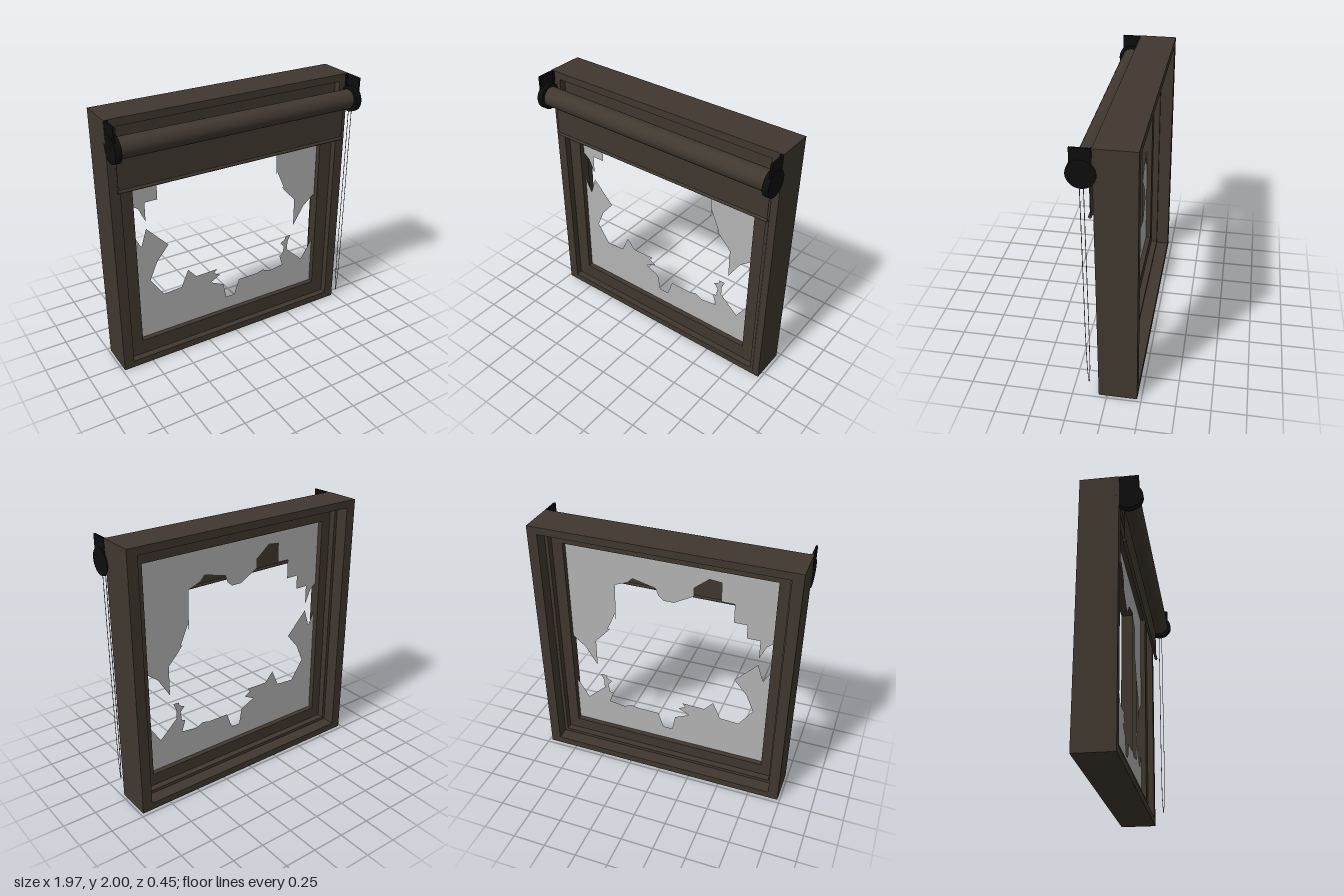
import * as THREE from 'three';

const mat = (name, color, side = THREE.FrontSide) => {
  const m = new THREE.MeshStandardMaterial({ color, side });
  m.name = name;
  return m;
};

export function createModel() {
  const wood = mat('dark brown wood', 0x40382f);
  const fabric = mat('brown fabric', 0x40382f, THREE.DoubleSide);
  const black = mat('black plastic', 0x0d0d0d);
  const glass = mat('grey glass', 0xb4b4b4, THREE.DoubleSide);
  const metal = mat('chain metal', 0x8c8a84);
  const group = new THREE.Group();
  const add = (name, geo, material, x = 0, y = 0, z = 0) => {
    const m = new THREE.Mesh(geo, material);
    m.name = name;
    m.position.set(x, y, z);
    group.add(m);
    return m;
  };

  // Rectangular frame ring: rectangles are [x0, y0, x1, y1]
  const rect = (P, [x0, y0, x1, y1]) =>
    new P([[x0, y0], [x1, y0], [x1, y1], [x0, y1]].map(p => new THREE.Vector2(...p)));
  const ring = (name, outer, inner, z0, z1) => {
    const s = rect(THREE.Shape, outer);
    s.holes.push(rect(THREE.Path, inner));
    add(name, new THREE.ExtrudeGeometry(s, { depth: z1 - z0, bevelEnabled: false }), wood, 0, 0, z0);
  };
  const opening = [-0.905, 0.055, 0.9, 1.945];
  const stop = [-0.88, 0.08, 0.875, 1.92];
  ring('outerFrame', [-0.983, 0, 0.978, 2], opening, -0.22, 0.06);
  ring('frameStop', opening, stop, -0.12, -0.03);
  ring('sash', opening, [-0.8, 0.175, 0.79, 1.825], -0.07, 0.01);

  // Broken glass: one shard still hanging, one standing in the sash
  const pane = (name, pts) =>
    add(name, new THREE.ShapeGeometry(new THREE.Shape(pts.map(p => new THREE.Vector2(...p)))), glass, 0, 0, -0.03);
  pane('upperGlass', [
    [-0.8, 1.825], [-0.8, 1.31], [-0.75, 1.27], [-0.7, 1.16], [-0.7, 1.31], [-0.6, 1.31],
    [-0.6, 1.42], [-0.5, 1.42], [-0.5, 1.57], [-0.4, 1.57], [-0.4, 1.72], [-0.31, 1.73],
    [-0.2, 1.64], [-0.2, 1.57], [-0.05, 1.485], [0.03, 1.485], [0.07, 1.52], [0.09, 1.575],
    [0.19, 1.6], [0.27, 1.62], [0.305, 1.58], [0.41, 1.54], [0.415, 1.23], [0.42, 1.29],
    [0.49, 1.13], [0.47, 1.14], [0.51, 1.09], [0.595, 1], [0.595, 0.765], [0.69, 0.92],
    [0.79, 1], [0.79, 1.825]]);
  pane('lowerGlass', [
    [-0.8, 0.175], [0.79, 0.175], [0.79, 0.575], [0.69, 0.415], [0.545, 0.55], [0.545, 0.62],
    [0.57, 0.68], [0.525, 0.68], [0.515, 0.65], [0.475, 0.63], [0.51, 0.59], [0.5, 0.52],
    [0.47, 0.51], [0.5, 0.42], [0.375, 0.4], [0.31, 0.43], [0.25, 0.415], [0.08, 0.415],
    [0.035, 0.285], [-0.04, 0.285], [-0.065, 0.415], [-0.18, 0.47], [-0.095, 0.515],
    [-0.15, 0.545], [-0.12, 0.575], [-0.305, 0.57], [-0.375, 0.65], [-0.435, 0.515],
    [-0.585, 0.505], [-0.69, 0.66], [-0.63, 0.8], [-0.53, 0.92], [-0.7, 1.1],
    [-0.745, 0.96], [-0.8, 1.07]]);

  // Roller blind: rolled fabric, hanging sheet and bottom bar
  const rod = (name, r, length, material, x, y, z, sides = 32) => {
    add(name, new THREE.CylinderGeometry(r, r, length, sides), material, x, y, z).rotation.z = Math.PI / 2;
  };
  rod('blindRoll', 0.074, 1.87, fabric, -0.003, 1.825, 0.128);
  add('blindSheet', new THREE.BoxGeometry(1.86, 0.33, 0.004), fabric, -0.003, 1.66, 0.09);
  rod('blindBar', 0.012, 1.865, fabric, -0.003, 1.498, 0.092, 12);

  // End brackets: round hub, thin arm and wall flange
  for (const [side, s] of [['left', 1], ['right', -1]]) {
    rod(side + 'BracketHub', 0.097, 0.045, black, s * 0.9605, 1.825, 0.13, 28);
    add(side + 'BracketArm', new THREE.BoxGeometry(0.014, 0.174, 0.138), black, s * 0.973, 1.912, 0.13);
    add(side + 'BracketFlange', new THREE.BoxGeometry(0.024, 0.09, 0.008), black, s * 0.966, 1.954, 0.065);
  }

  // Pull chain: a long narrow loop hanging from the left hub
  const loop = new THREE.CatmullRomCurve3([
    [0.956, 1.76, 0.12], [0.957, 1.2, 0.12], [0.957, 0.5, 0.12], [0.958, 0.2, 0.124], [0.96, 0.113, 0.131],
    [0.962, 0.2, 0.138], [0.964, 0.5, 0.143], [0.965, 1.2, 0.143], [0.965, 1.76, 0.143],
  ].map(p => new THREE.Vector3(...p)));
  add('pullChain', new THREE.TubeGeometry(loop, 80, 0.0025, 6), metal);
  add('chainWeight', new THREE.CylinderGeometry(0.005, 0.005, 0.02, 8), metal, 0.96, 0.118, 0.131);

  return group;
}
